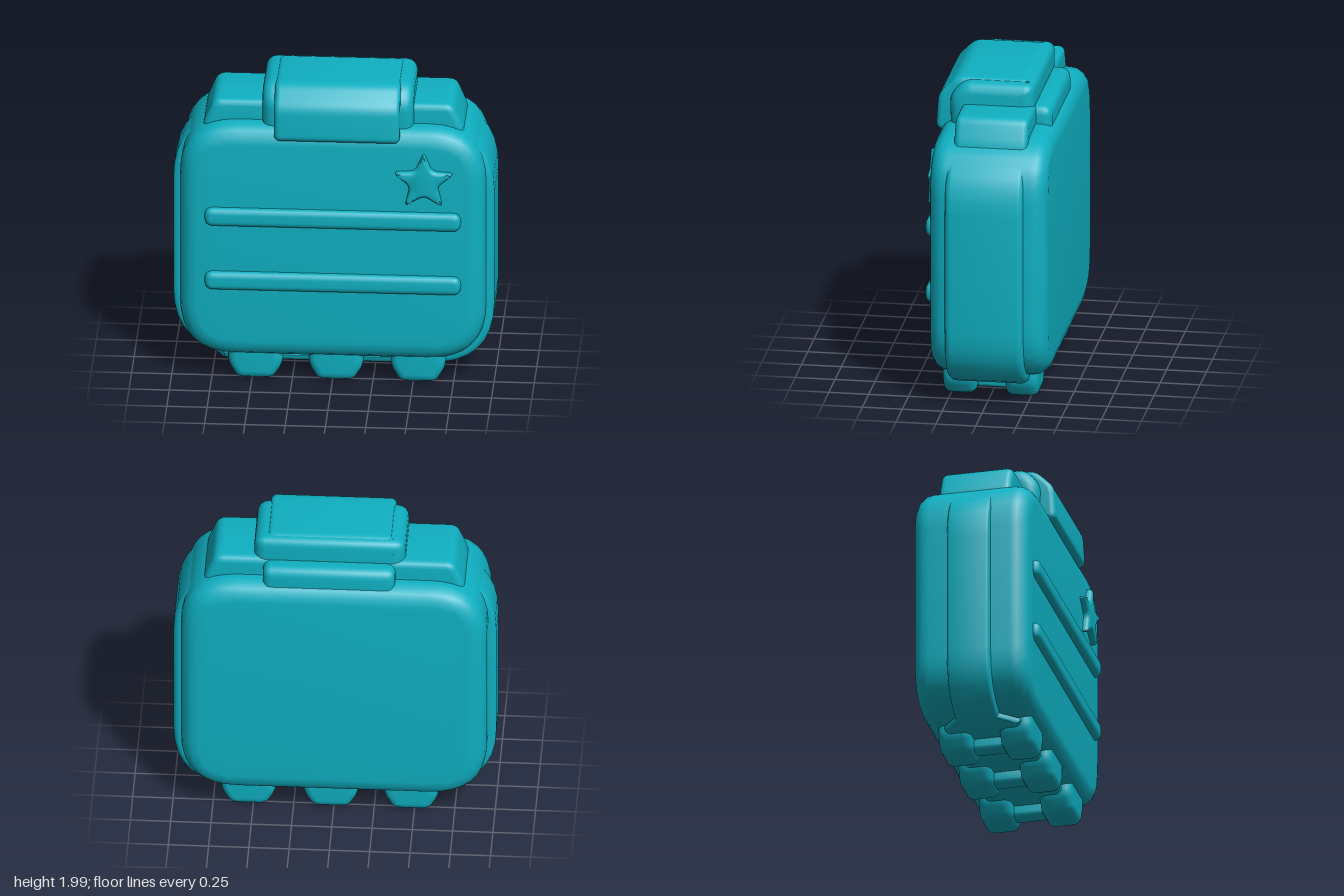
import * as THREE from 'three';
import { toCreasedNormals } from 'three/addons/utils/BufferGeometryUtils.js';

// Closed shape through points, each corner trimmed by r and rounded
function roundPoly(points, r) {
  const shape = new THREE.Shape();
  const pts = points.map(([x, y]) => new THREE.Vector2(x, y));
  const n = pts.length;
  pts.forEach((p, i) => {
    const prev = pts[(i + n - 1) % n], next = pts[(i + 1) % n];
    const a = p.clone().add(prev.clone().sub(p).setLength(r));
    const b = p.clone().add(next.clone().sub(p).setLength(r));
    if (i === 0) shape.moveTo(a.x, a.y); else shape.lineTo(a.x, a.y);
    shape.quadraticCurveTo(p.x, p.y, b.x, b.y);
  });
  shape.closePath();
  return shape;
}

const rect = (x0, x1, y0, y1) => [[x0, y0], [x1, y0], [x1, y1], [x0, y1]];

// Bevelled slab whose outer size is the shape itself, from z0 to z1
function slab(points, r, z0, z1, bevel) {
  const geo = new THREE.ExtrudeGeometry(roundPoly(points, r), {
    depth: z1 - z0 - 2 * bevel, curveSegments: 8, bevelEnabled: true,
    bevelSize: bevel, bevelThickness: bevel, bevelOffset: -bevel, bevelSegments: 4,
  });
  return geo.translate(0, 0, z0 + bevel);
}

// Same, but the profile is drawn as (z, y) and swept across x
function sideSlab(points, r, x0, x1, bevel) {
  return slab(points, r, -x1, -x0, bevel).rotateY(-Math.PI / 2);
}

export function createModel() {
  const model = new THREE.Group();
  model.name = 'case';
  const teal = new THREE.MeshStandardMaterial({ color: 0x0fb0c2 });
  teal.name = 'teal';

  const add = (name, geo, parent = model) => {
    const mesh = new THREE.Mesh(toCreasedNormals(geo, 0.6), teal);
    mesh.name = name;
    parent.add(mesh);
    return mesh;
  };

  // Main shell
  add('body', slab(rect(-0.95, 0.95, 0.16, 1.72), 0.36, -0.39, 0.35, 0.11));

  // Rim around the shell, narrower on the -x side
  const rim = slab(rect(-1, 1, 0.1, 1.69), 0.42, -0.25, 0.24, 0.04);
  const pos = rim.attributes.position;
  for (let i = 0; i < pos.count; i++) {
    if (pos.getX(i) < -0.75) pos.setZ(i, pos.getZ(i) * 0.56 - 0.015);
  }
  add('rim', rim);

  // Stepped top
  add('shoulders', slab(
    [[-0.82, 1.5], [0.82, 1.5], [0.81, 1.68], [0.74, 1.845], [-0.74, 1.845], [-0.81, 1.68]],
    0.05, -0.25, 0.21, 0.04));
  add('handleBlock', sideSlab(
    [[-0.24, 1.6], [0.28, 1.6], [0.29, 1.88], [0.2, 1.98], [-0.24, 1.98]],
    0.06, -0.44, 0.5, 0.07));
  add('flap', sideSlab(
    [[-0.2, 1.64], [0.385, 1.64], [0.37, 1.87], [0.25, 1.99], [-0.2, 1.99], [-0.24, 1.9]],
    0.05, -0.36, 0.42, 0.035));
  add('hinge', sideSlab(rect(-0.345, -0.1, 1.58, 1.83), 0.07, -0.38, 0.44, 0.05));

  // Three pairs of feet joined by short bars
  const feet = new THREE.Group();
  feet.name = 'feet';
  model.add(feet);
  for (const x of [-0.48, 0.02, 0.53]) {
    const outline = [[-0.17, 0.3], [-0.17, 0.1], [-0.11, 0], [0.11, 0], [0.17, 0.1], [0.17, 0.3]]
      .map(([px, py]) => [px + x, py]);
    add('frontFoot', slab(outline, 0.04, 0.09, 0.3, 0.05), feet);
    add('backFoot', slab(outline, 0.04, -0.3, -0.09, 0.05), feet);
    add('footBar', slab(rect(x - 0.06, x + 0.06, 0.03, 0.15), 0.03, -0.15, 0.15, 0.01), feet);
  }

  // Raised bars on the front
  for (const y of [1.12, 0.69]) {
    add('frontBar', slab(rect(-0.79, 0.8, y - 0.06, y + 0.06), 0.055, 0.3, 0.39, 0.035));
  }

  // Rounded star on the front
  const star = [];
  for (let i = 0; i < 10; i++) {
    const a = Math.PI / 2 + i * Math.PI / 5, r = i % 2 ? 0.09 : 0.2;
    star.push([0.57 + r * Math.cos(a), 1.39 + r * Math.sin(a)]);
  }
  add('star', slab(star, 0.035, 0.3, 0.39, 0.025));

  return model;
}
